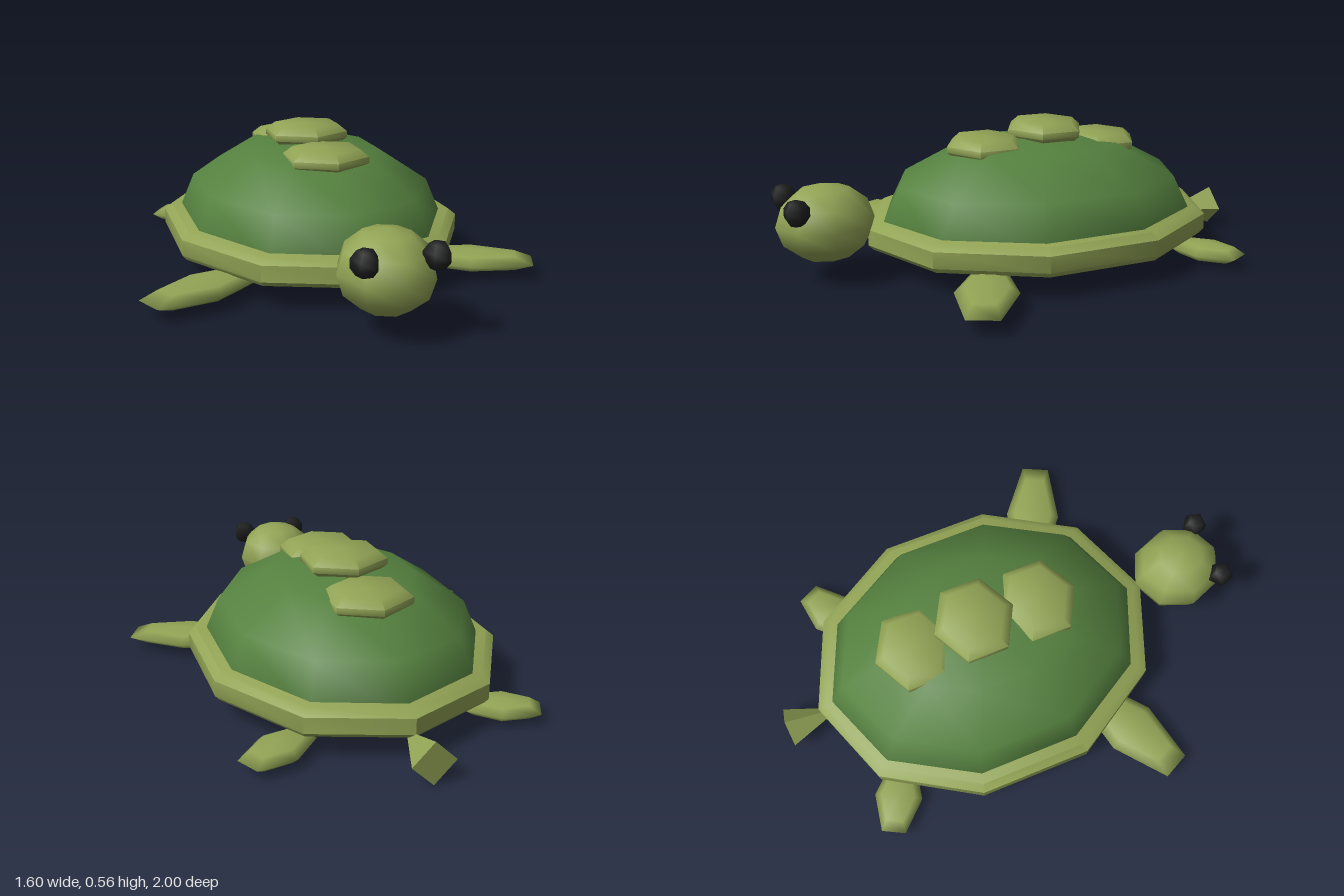
import * as THREE from 'three';
import { toCreasedNormals } from 'three/addons/utils/BufferGeometryUtils.js';

const material = (name, color, flatShading = false) => {
  const m = new THREE.MeshStandardMaterial({ color, flatShading });
  m.name = name;
  return m;
};

// Lathe from [radius, height] pairs listed bottom to top
const lathe = (points, sides) =>
  new THREE.LatheGeometry(points.map(([r, y]) => new THREE.Vector2(r, y)), sides);

export function createModel() {
  const group = new THREE.Group();
  const skin = material('skinGreen', 0x92a455);
  const shell = material('shellGreen', 0x55813f);
  const black = material('eyeBlack', 0x1b1d1c);

  const add = (name, geometry, mat, x, y, z) => {
    const mesh = new THREE.Mesh(geometry, mat);
    mesh.name = name;
    mesh.position.set(x, y, z);
    group.add(mesh);
    return mesh;
  };

  // Ten-sided oval rim with bevelled edges and a flat belly
  const rim = lathe([[0, 0.09], [0.975, 0.09], [1, 0.11], [1, 0.175], [0.95, 0.2], [0, 0.2]], 10);
  rim.scale(0.62, 1, 0.745);
  add('shellRim', toCreasedNormals(rim, 0.7), skin, 0, 0, -0.105);

  // Domed shell; a vertex of the ten-sided outline points forward
  const dome = new THREE.SphereGeometry(1, 10, 3, 0, Math.PI * 2, 0, Math.PI / 2);
  dome.rotateY(Math.PI / 2);
  dome.scale(0.565, 0.365, 0.705);
  add('shellDome', dome, shell, 0, 0.149, -0.105);

  // Three hexagonal plates along the back
  const plate = lathe([[0, -0.08], [0.82, -0.08], [1, -0.055], [1, -0.03], [0.78, 0], [0, 0]], 6);
  plate.scale(0.18, 1, 0.166);
  const plateGeometry = toCreasedNormals(plate, 1.1);
  [[0.51, 0.135], [0.56, -0.135], [0.492, -0.39]].forEach(([y, z], i) =>
    add('shellPlate' + (i + 1), plateGeometry, skin, 0, y, z));

  // Head
  const head = new THREE.SphereGeometry(1, 8, 6);
  head.scale(0.18, 0.154, 0.194);
  add('head', head, skin, 0, 0.229, 0.804);

  // Eyes and flippers, mirrored
  const eye = new THREE.SphereGeometry(0.053, 5, 5);
  eye.rotateY(-Math.PI / 2);
  const flipper = new THREE.SphereGeometry(1, 6, 4);
  for (const [side, s] of [['left', 1], ['right', -1]]) {
    add(side + 'Eye', eye, black, s * 0.127, 0.313, 0.938);

    const front = add(side + 'FrontFlipper', flipper, skin, s * 0.55, 0.06, 0.36);
    front.scale.set(0.12, 0.04, 0.285);
    front.rotation.y = s * 1.12;

    const back = add(side + 'BackFlipper', flipper, skin, s * 0.447, 0.044, -0.668);
    back.scale.set(0.1, 0.038, 0.17);
    back.rotation.y = s * 2.056;
  }

  // Four-sided tail, widening to the back
  const tail = new THREE.ConeGeometry(0.085, 0.23, 4);
  tail.rotateX(Math.PI / 2);
  add('tail', toCreasedNormals(tail, 0.5), skin, 0, 0.085, -0.885);

  return group;
}
